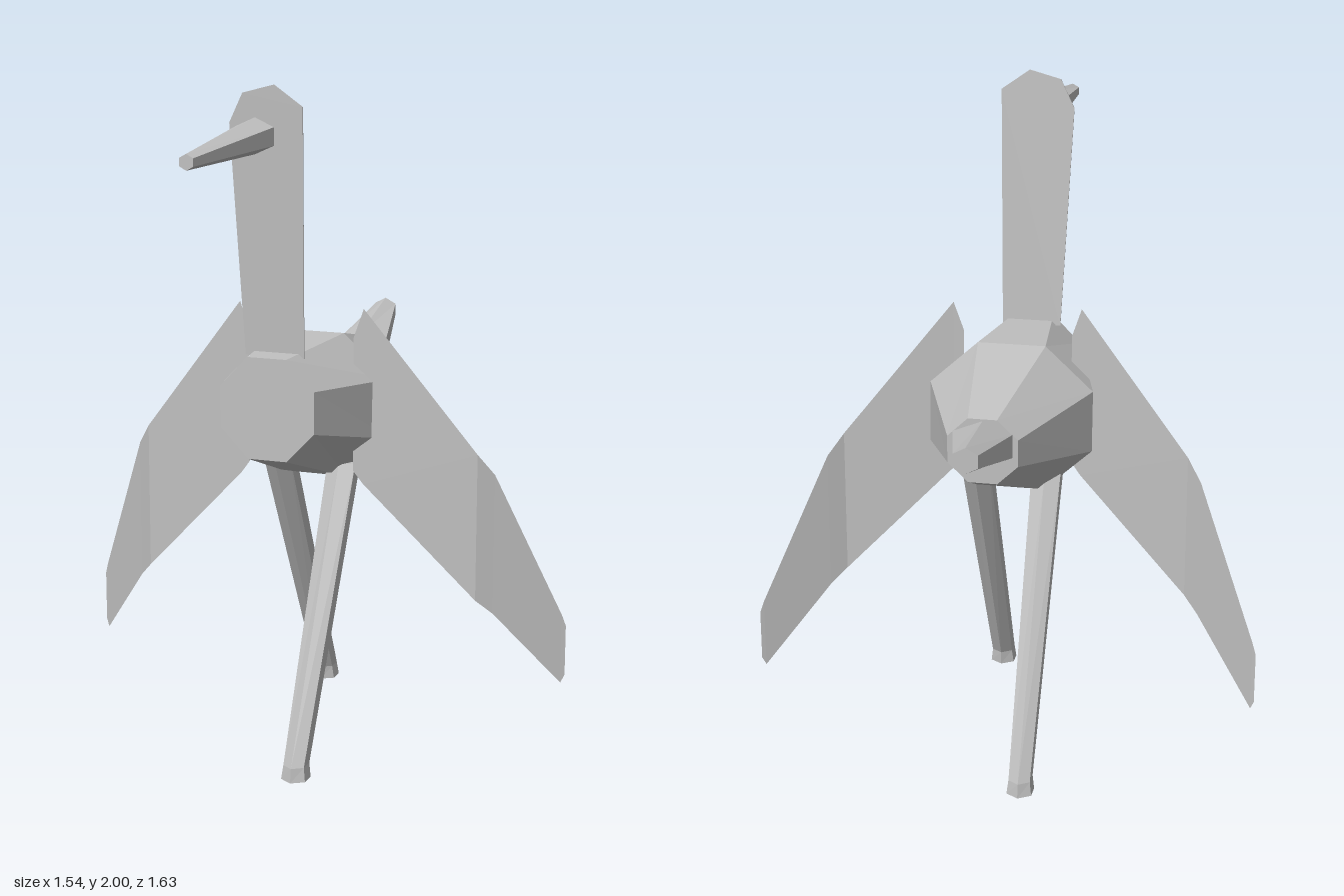
import * as THREE from 'three';

// Joins elliptical rings [x, y, z, r1, r2, tilt] into a closed faceted solid.
// axis 'z': rings stand upright, listed back to front. axis 'y': rings lie flat, listed bottom to top.
function loft(rings, sides, phase, axis) {
  const pos = [];
  const point = ([x, y, z, r1, r2, tilt = 0], j) => {
    const a = phase + (j / sides) * Math.PI * 2;
    return axis === 'z'
      ? [x + r1 * Math.cos(a), y + r2 * Math.sin(a), z + tilt * Math.sin(a)]
      : [x + r1 * Math.sin(a), y, z + r2 * Math.cos(a)];
  };
  const last = rings[rings.length - 1];
  for (let j = 0; j < sides; j++) {
    for (let i = 0; i < rings.length - 1; i++) {
      const a = point(rings[i], j), b = point(rings[i], j + 1);
      const c = point(rings[i + 1], j + 1), d = point(rings[i + 1], j);
      pos.push(...a, ...b, ...c, ...a, ...c, ...d);
    }
    // end caps
    pos.push(...rings[0].slice(0, 3), ...point(rings[0], j + 1), ...point(rings[0], j));
    pos.push(...last.slice(0, 3), ...point(last, j), ...point(last, j + 1));
  }
  return toGeometry(pos);
}

function toGeometry(pos) {
  const g = new THREE.BufferGeometry();
  g.setAttribute('position', new THREE.Float32BufferAttribute(pos, 3));
  g.computeVertexNormals();
  return g;
}

// Thin wing sheet from columns [x, top y, bottom y, z]
function wingGeometry(columns, side) {
  const pos = [];
  for (let i = 0; i < columns.length - 1; i++) {
    const [x0, t0, b0, z0] = columns[i], [x1, t1, b1, z1] = columns[i + 1];
    const a = [side * x0, b0, z0], b = [side * x1, b1, z1];
    const c = [side * x1, t1, z1], d = [side * x0, t0, z0];
    if (side > 0) pos.push(...a, ...b, ...c, ...a, ...c, ...d);
    else pos.push(...a, ...c, ...b, ...a, ...d, ...c);
  }
  return toGeometry(pos);
}

export function createModel() {
  const model = new THREE.Group();
  model.name = 'bird';
  const grey = new THREE.MeshStandardMaterial({ color: 0xc0c0c0, flatShading: true, side: THREE.DoubleSide });
  grey.name = 'light grey';
  const add = (name, geometry) => {
    const mesh = new THREE.Mesh(geometry, grey);
    mesh.name = name;
    model.add(mesh);
    return mesh;
  };

  // Octagonal barrel body
  add('body', loft([
    [0, 1.06, -0.435, 0.11, 0.104],
    [0, 1.022, -0.03, 0.267, 0.241, 0.012],
    [0, 1.08, 0.345, 0.155, 0.162],
  ], 8, Math.PI / 8, 'z'));

  // Tapered six-sided tail and beak
  add('tail', loft([
    [-0.035, 1.175, -0.81, 0.04, 0.037],
    [0, 1.08, -0.43, 0.1, 0.07],
  ], 6, Math.PI / 2, 'z'));
  add('beak', loft([
    [-0.014, 1.865, 0.39, 0.065, 0.051],
    [-0.032, 1.837, 0.82, 0.023, 0.022],
  ], 6, Math.PI / 2, 'z'));

  // Flat neck and head sheet, leaning slightly forward
  const outline = [
    [-0.095, 1.22], [0.085, 1.22], [0.095, 1.94],
    [0.01, 2], [-0.085, 1.975], [-0.127, 1.89],
  ].map(([x, y]) => new THREE.Vector2(x, y));
  const neck = new THREE.ExtrudeGeometry(new THREE.Shape(outline), { depth: 0.004, bevelEnabled: false });
  const p = neck.attributes.position;
  for (let i = 0; i < p.count; i++) p.setZ(i, p.getZ(i) + 0.266 + (p.getY(i) - 1.22) * 0.05);
  neck.computeVertexNormals();
  add('neck', neck);

  // Drooping wings, swept back at the tips
  const columns = [
    [0.165, 1.25, 0.85, 0.073],
    [0.195, 1.338, 0.81, 0.068],
    [0.53, 0.915, 0.467, 0.008],
    [0.575, 0.85, 0.422, -0.025],
    [0.757, 0.4, 0.185, -0.15],
    [0.768, 0.365, 0.21, -0.157],
  ];
  add('leftWing', wingGeometry(columns, 1));
  add('rightWing', wingGeometry(columns, -1));

  // Striding six-sided legs, each with a short upright foot
  const leg = (name, x, footZ, topZ) => add(name, loft([
    [x, 0, footZ, 0.043, 0.047],
    [x, 0.042, footZ * 0.99, 0.037, 0.045],
    [x, 0.86, topZ, 0.051, 0.049],
  ], 6, 0, 'y'));
  leg('leftLeg', 0.113, 0.412, 0.005);
  leg('rightLeg', -0.113, -0.452, -0.035);

  return model;
}
